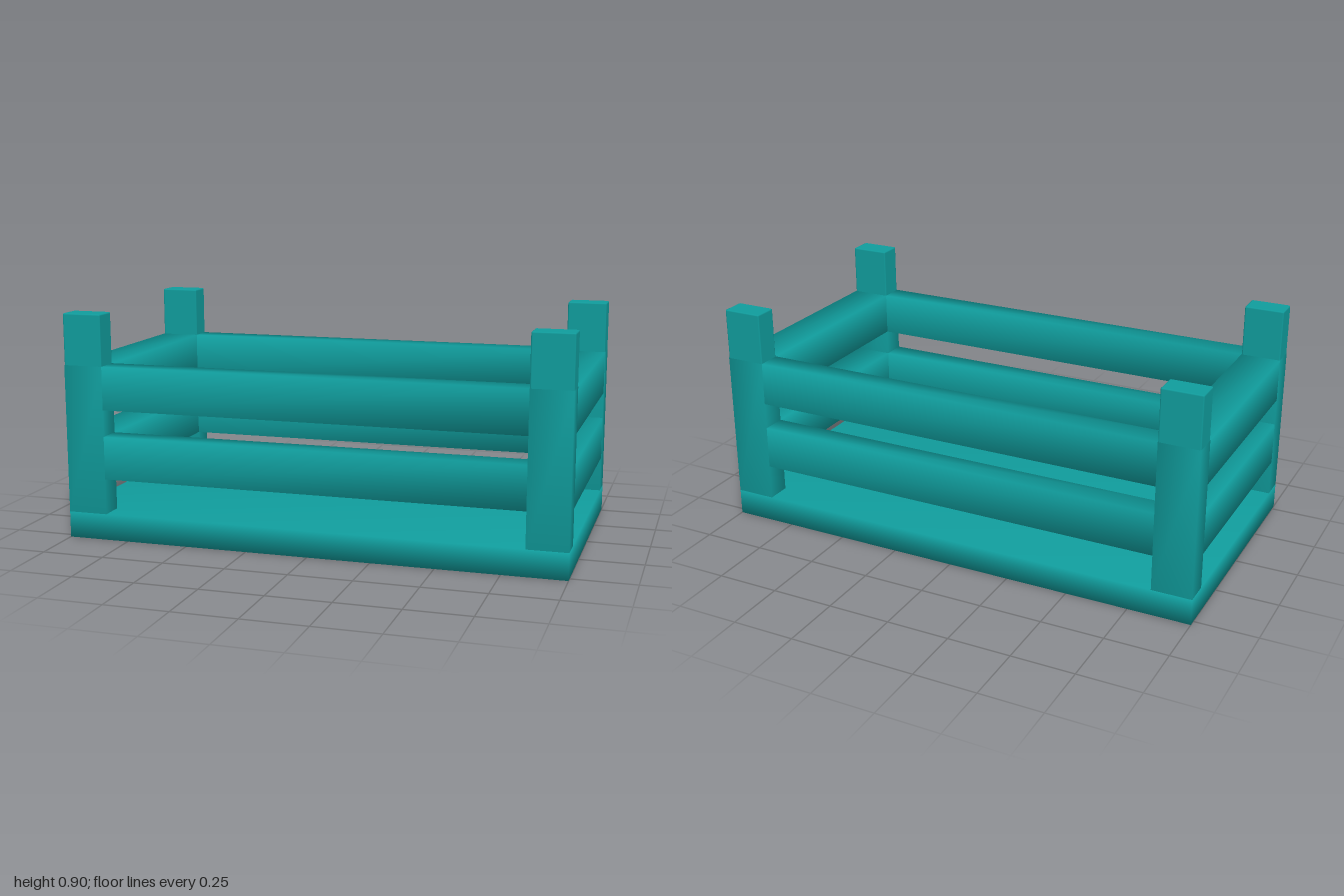
import * as THREE from 'three';
import { mergeVertices } from 'three/addons/utils/BufferGeometryUtils.js';
import { RoundedBoxGeometry } from 'three/addons/geometries/RoundedBoxGeometry.js';

const X = 1, Z = 0.527;          // outer half sizes
const POST_W = 0.16, POST_D = 0.097;
const BASE_H = 0.105, RIM = 0.7, TOP = 0.905;

const material = new THREE.MeshStandardMaterial({ color: 0x109c9c });

// Box whose corners share normals, so its edges shade softly
function softBox(w, h, d) {
  const box = new THREE.BoxGeometry(w, h, d);
  box.deleteAttribute('uv');
  box.deleteAttribute('normal');
  const welded = mergeVertices(box);
  welded.computeVertexNormals();
  return welded;
}

function add(parent, name, geometry, x, y, z) {
  const mesh = new THREE.Mesh(geometry, material);
  mesh.name = name;
  mesh.position.set(x, y, z);
  parent.add(mesh);
}

export function createModel() {
  const crate = new THREE.Group();
  crate.name = 'crate';

  // Solid floor slab
  add(crate, 'floor', softBox(2 * X, BASE_H, 2 * Z), 0, BASE_H / 2, 0);

  // Corner posts: soft lower part, crisp finely bevelled top
  const lower = softBox(POST_W, RIM - BASE_H, POST_D);
  const bevel = 0.006;
  const upperH = TOP - RIM + bevel;
  const upper = new RoundedBoxGeometry(POST_W, upperH, POST_D, 1, bevel);
  for (const sx of [-1, 1]) {
    for (const sz of [-1, 1]) {
      const post = new THREE.Group();
      post.name = (sz > 0 ? 'front' : 'back') + (sx > 0 ? 'Left' : 'Right') + 'Post';
      post.position.set(sx * (X - POST_W / 2), 0, sz * (Z - POST_D / 2));
      add(post, 'postLower', lower, 0, (RIM + BASE_H) / 2, 0);
      add(post, 'postTop', upper, 0, TOP - upperH / 2, 0);
      crate.add(post);
    }
  }

  // Two rows of slats around the crate, flush with the posts
  const rows = [['lower', 0.248, 0.42], ['upper', 0.527, RIM]];
  for (const [row, y0, y1] of rows) {
    const long = softBox(2 * (X - POST_W), y1 - y0, POST_D);
    const short = softBox(POST_W, y1 - y0, 2 * (Z - POST_D));
    const y = (y0 + y1) / 2;
    for (const s of [-1, 1]) {
      add(crate, row + (s > 0 ? 'Front' : 'Back') + 'Slat', long, 0, y, s * (Z - POST_D / 2));
      add(crate, row + (s > 0 ? 'Left' : 'Right') + 'Slat', short, s * (X - POST_W / 2), y, 0);
    }
  }
  return crate;
}
